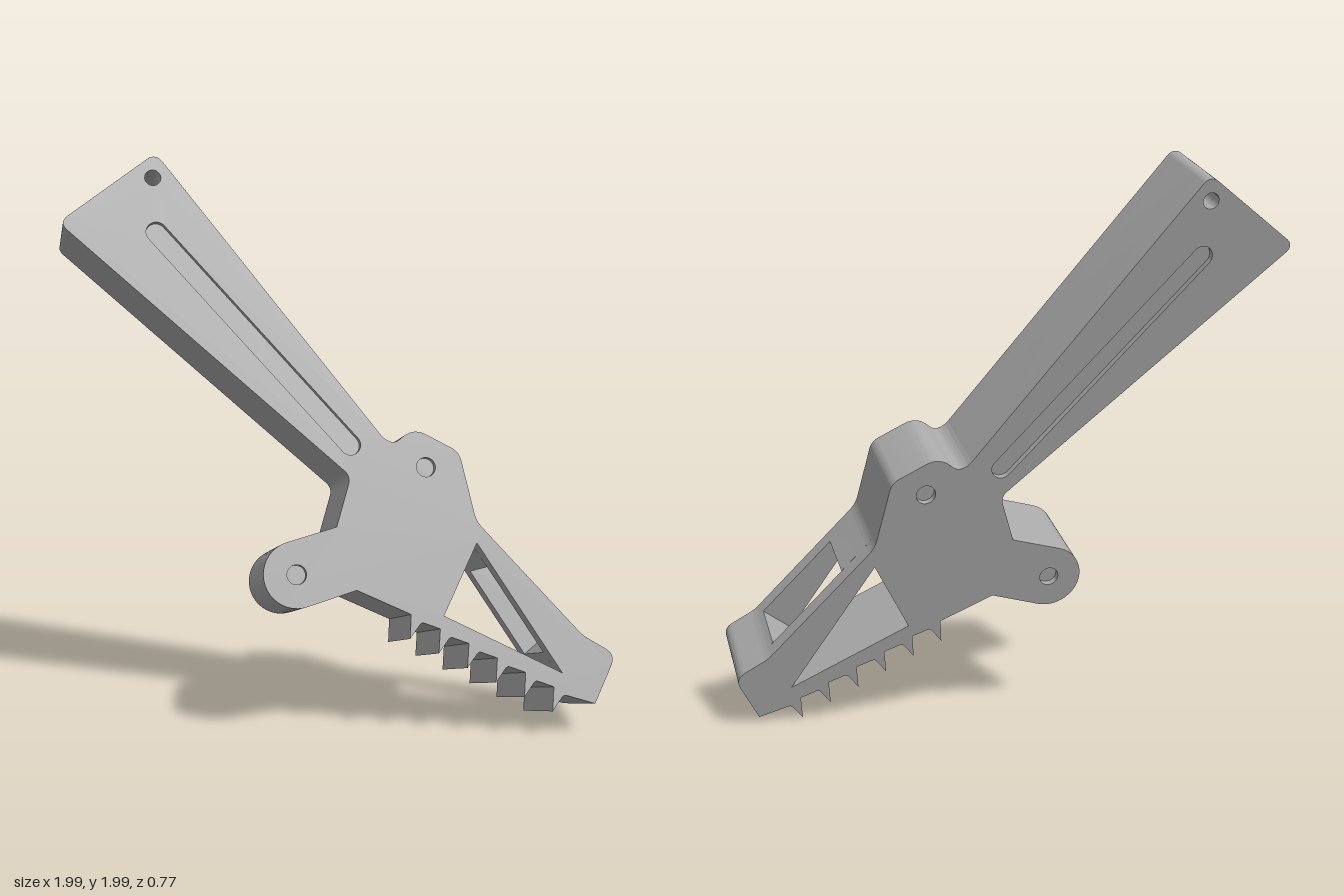
import * as THREE from 'three';
import { toCreasedNormals } from 'three/addons/utils/BufferGeometryUtils.js';

// Local frame of the tilted plate: U, V lie in its face, N is its facing direction
const N = new THREE.Vector3(0.44, 0.29, 0.85).normalize();
const U = new THREE.Vector3(1, 0, 0).addScaledVector(N, -N.x).normalize();
const V = new THREE.Vector3().crossVectors(N, U);
const FACE = 0.447, DEPTH = 0.338;

// Point on the front face given by upright x, y -> plate coordinates
function onFace(x, y, r = 0) {
  const u = (x - N.x * FACE) / U.x;
  const v = (y - N.y * FACE - U.y * u) / V.y;
  return { p: new THREE.Vector2(u, v), r };
}

// Closed polygon with individually rounded corners
function trace(path, pts) {
  const n = pts.length;
  pts.forEach(({ p, r }, i) => {
    const toward = (q) => p.clone().add(q.clone().sub(p).setLength(r));
    const a = r ? toward(pts[(i + n - 1) % n].p) : p;
    if (i === 0) path.moveTo(a.x, a.y); else path.lineTo(a.x, a.y);
    if (r) {
      const b = toward(pts[(i + 1) % n].p);
      path.quadraticCurveTo(p.x, p.y, b.x, b.y);
    }
  });
  path.closePath();
  return path;
}

function circle(x, y, r) {
  const { p } = onFace(x, y);
  return new THREE.Path().absarc(p.x, p.y, r, 0, Math.PI * 2);
}

function slot(x0, y0, x1, y1, r) {
  const a = onFace(x0, y0).p, b = onFace(x1, y1).p;
  const t = Math.atan2(b.y - a.y, b.x - a.x), q = Math.PI / 2;
  return new THREE.Path()
    .absarc(a.x, a.y, r, t + q, t + 3 * q)
    .absarc(b.x, b.y, r, t - q, t + q)
    .closePath();
}

// Whole silhouette; the notch, if any, opens the upper strut
function outline(notch = []) {
  const pts = [
    onFace(-0.595, 2.005, 0.04), onFace(-0.865, 1.77, 0.04),
    onFace(0.11, 0.905, 0.03), onFace(0.08, 0.74),
  ];
  // rounded pivot lug
  const c = onFace(-0.03, 0.59).p;
  for (let i = 0; i <= 20; i++) {
    const a = THREE.MathUtils.degToRad(115 + 9 * i);
    pts.push({ p: new THREE.Vector2(c.x + 0.115 * Math.cos(a), c.y + 0.115 * Math.sin(a)), r: 0 });
  }
  pts.push(onFace(0.16, 0.53), onFace(0.336, 0.443));
  // saw teeth
  for (let k = 0; k < 6; k++) {
    const x = 0.339 + 0.094 * k, y = 0.364 - 0.0525 * k;
    pts.push(onFace(x, y), onFace(x + 0.032, y + 0.052, 0.012));
    if (k < 5) pts.push(onFace(x + 0.0925, y + 0.027));
  }
  // toe, strut and shoulder
  pts.push(onFace(0.945, 0.118), onFace(1.003, 0.275, 0.045), onFace(0.89, 0.345, 0.02));
  pts.push(...notch);
  pts.push(
    onFace(0.52, 0.74, 0.03), onFace(0.447, 0.975, 0.03), onFace(0.295, 1.06, 0.05),
    onFace(0.24, 1.01, 0.02), onFace(0.205, 1.025, 0.02),
  );
  return trace(new THREE.Shape(), pts);
}

export function createModel() {
  const grey = new THREE.MeshStandardMaterial({ color: 0xa8a8a8 });
  grey.name = 'plainGrey';

  const model = new THREE.Group();
  model.name = 'toothedLever';
  model.quaternion.setFromRotationMatrix(new THREE.Matrix4().makeBasis(U, V, N));

  const window0 = onFace(0.527, 0.668), window1 = onFace(0.44, 0.433), window2 = onFace(0.832, 0.225);
  const triangle = () => trace(new THREE.Path(), [window0, window1, window2]);
  const handleHole = () => circle(-0.595, 1.92, 0.028);
  const recesses = () => [
    slot(-0.565, 1.735, 0.1, 1.01, 0.036),
    circle(0.345, 0.927, 0.034),
    circle(-0.03, 0.59, 0.034),
  ];

  // One slice of the plate, measured back from the front face
  function slice(name, from, to, shape, holes) {
    shape.holes.push(...holes);
    const geo = new THREE.ExtrudeGeometry(shape, { depth: to - from, bevelEnabled: false, curveSegments: 12 });
    geo.translate(0, 0, FACE - to);
    const mesh = new THREE.Mesh(toCreasedNormals(geo, 0.6), grey);
    mesh.name = name;
    model.add(mesh);
  }

  // Recessed skins and side walls, mirrored front to back
  const SKIN = 0.025, WALL = 0.06;
  slice('frontSkin', 0, SKIN, outline(), [triangle(), handleHole(), ...recesses()]);
  slice('frontWall', SKIN, WALL, outline(), [triangle(), handleHole()]);
  slice('backWall', DEPTH - WALL, DEPTH - SKIN, outline(), [triangle(), handleHole()]);
  slice('backSkin', DEPTH - SKIN, DEPTH, outline(), [triangle(), handleHole(), ...recesses()]);

  // Core, with the strut cut through into the triangular window
  const notch = [
    onFace(0.866, 0.371), onFace(0.783, 0.296), window2, window1, window0,
    onFace(0.58, 0.59), onFace(0.624, 0.63),
  ];
  slice('core', WALL, DEPTH - WALL, outline(notch), [handleHole()]);

  return model;
}
